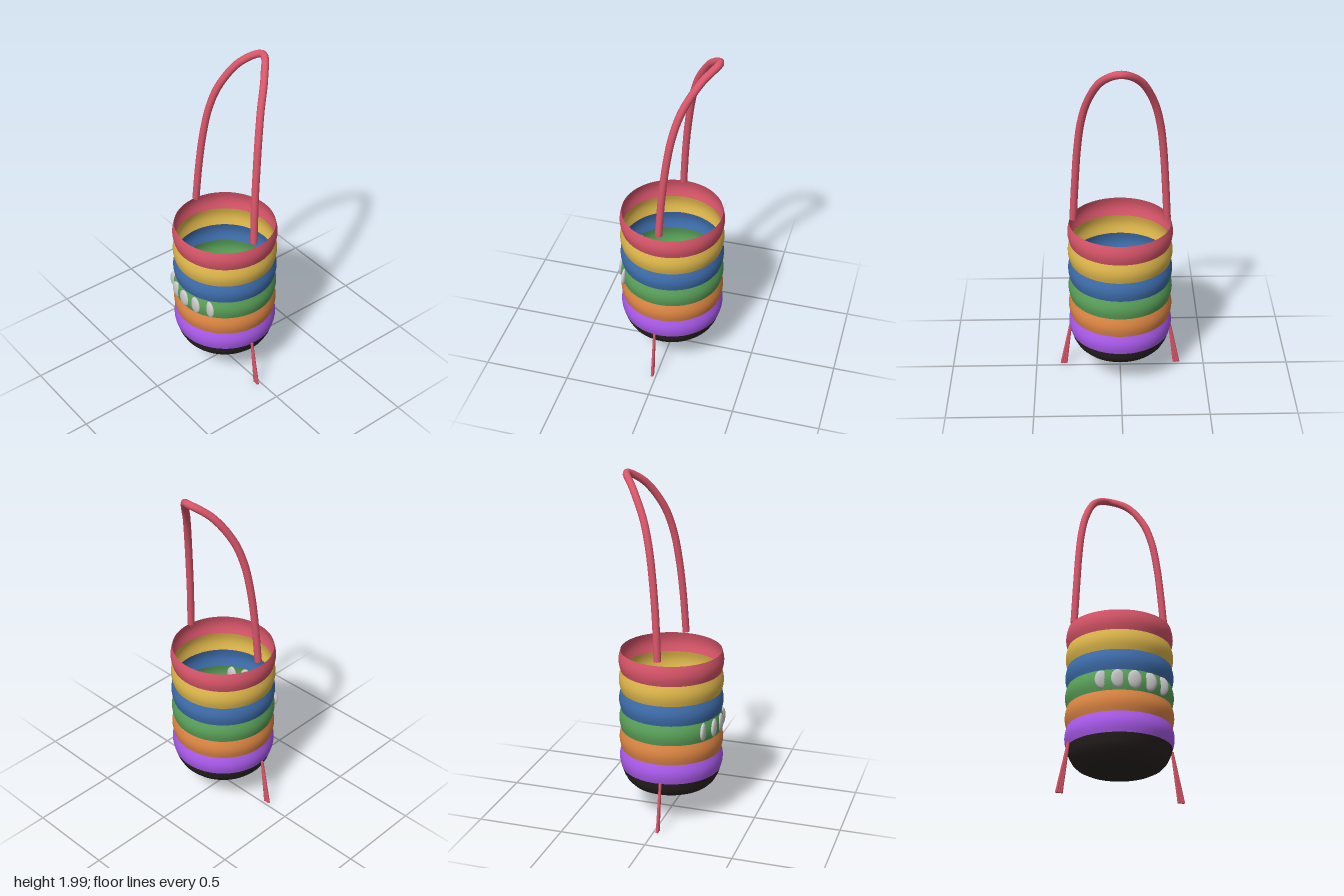
import * as THREE from 'three';

const mat = (color) => new THREE.MeshStandardMaterial({ color, side: THREE.DoubleSide });

function add(parent, name, geometry, material) {
  const mesh = new THREE.Mesh(geometry, material);
  mesh.name = name;
  parent.add(mesh);
  return mesh;
}

export function createModel() {
  const model = new THREE.Group();
  model.name = 'bucketBag';
  const red = mat(0xd9566a);
  const cz = -0.005;

  // Bag body: stacked bulging bands, open at the top
  const body = new THREE.Group();
  body.name = 'body';
  body.position.z = cz;
  model.add(body);
  const bandH = 0.1175;
  const bands = [
    ['purpleBand', mat(0xad5cf0)],
    ['orangeBand', mat(0xe08844)],
    ['greenBand', mat(0x5ba35b)],
    ['blueBand', mat(0x3f6fae)],
    ['yellowBand', mat(0xe0b84c)],
    ['redBand', red],
  ];
  bands.forEach(([name, material], i) => {
    const profile = [];
    for (let k = 0; k <= 8; k++) {
      const t = k / 8;
      profile.push(new THREE.Vector2(0.288 + 0.011 * Math.sin(Math.PI * t), 0.28 + (i + t) * bandH));
    }
    add(body, name, new THREE.LatheGeometry(profile, 64), material);
  });

  // Rounded dark base
  const basePoints = [
    [0, 0.145], [0.08, 0.148], [0.15, 0.156], [0.2, 0.168], [0.235, 0.186],
    [0.258, 0.21], [0.275, 0.242], [0.288, 0.28],
  ].map(([r, y]) => new THREE.Vector2(r, y));
  add(body, 'base', new THREE.LatheGeometry(basePoints, 64), mat(0x2b2523));

  // Shells across the front of the green band
  const shells = new THREE.Group();
  shells.name = 'shells';
  model.add(shells);
  const shellMat = mat(0xcccccc);
  [[-0.167, 0.235], [-0.088, 0.275], [0, 0.288], [0.088, 0.275], [0.167, 0.235]].forEach(([x, z]) => {
    const shell = add(shells, 'shell', new THREE.SphereGeometry(1, 24, 16), shellMat);
    shell.scale.set(0.039, 0.053, 0.0145);
    shell.position.set(x, 0.576, z);
  });

  // Handle leaning towards the back
  const half = [
    [0.265, 1.003, 0], [0.25, 1.25, -0.015], [0.235, 1.45, -0.035],
    [0.213, 1.62, -0.062], [0.175, 1.765, -0.105], [0.1, 1.91, -0.188],
  ];
  const path = [
    ...half.map(([x, y, z]) => new THREE.Vector3(-x, y, z)),
    new THREE.Vector3(0, 1.975, -0.259),
    ...half.slice().reverse().map((p) => new THREE.Vector3(...p)),
  ];
  add(model, 'handle', new THREE.TubeGeometry(new THREE.CatmullRomCurve3(path), 96, 0.021, 12), red);

  // Cord tassels hanging from both sides
  for (const side of [-1, 1]) {
    const tassel = new THREE.Group();
    tassel.name = side > 0 ? 'leftTassel' : 'rightTassel';
    model.add(tassel);
    for (const endX of [0.324, 0.337, 0.35]) {
      const top = new THREE.Vector3(side * 0.291, 0.285, 0.022);
      const end = new THREE.Vector3(side * endX, 0.004, 0.022);
      const cord = add(tassel, 'cord', new THREE.CylinderGeometry(0.008, 0.008, top.distanceTo(end), 10), red);
      cord.position.copy(top).add(end).multiplyScalar(0.5);
      cord.quaternion.setFromUnitVectors(new THREE.Vector3(0, 1, 0), top.clone().sub(end).normalize());
    }
  }
  return model;
}
